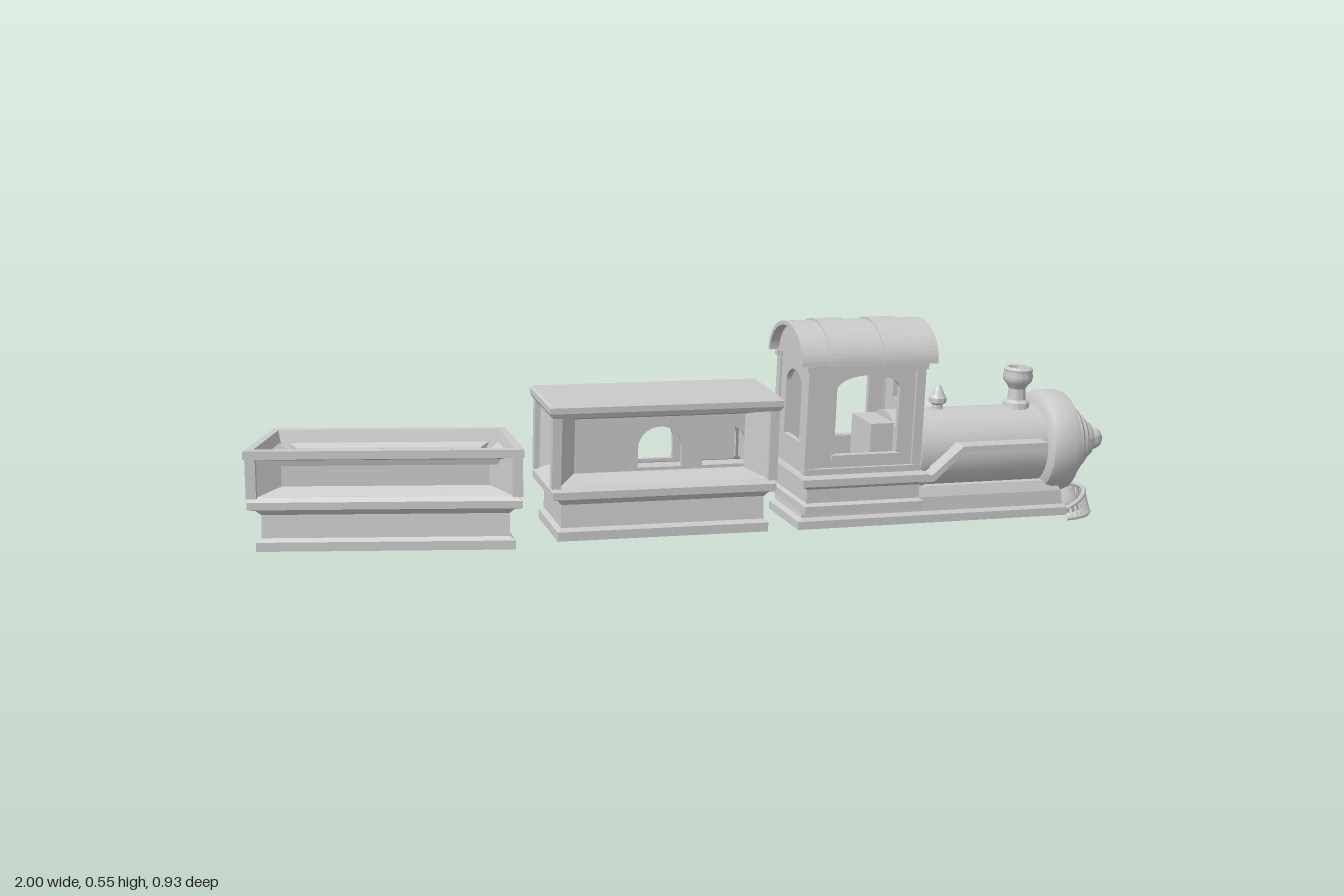
import * as THREE from 'three';
import { toCreasedNormals } from 'three/addons/utils/BufferGeometryUtils.js';

const solid = new THREE.MeshStandardMaterial({ color: 0xcccccc });
const thin = new THREE.MeshStandardMaterial({ color: 0xcccccc, side: THREE.DoubleSide });

function add(group, name, geo, mat = solid) {
  const mesh = new THREE.Mesh(geo, mat);
  mesh.name = name;
  group.add(mesh);
}

// Box given by its limits
function box(x0, x1, y0, y1, z0, z1) {
  return new THREE.BoxGeometry(x1 - x0, y1 - y0, z1 - z0)
    .translate((x0 + x1) / 2, (y0 + y1) / 2, (z0 + z1) / 2);
}

// Rectangular sections [half length, half width, y] joined upwards
function loft(sections) {
  const pos = [];
  const corners = ([a, b, y]) => [[a, y, b], [a, y, -b], [-a, y, -b], [-a, y, b]];
  for (let s = 0; s < sections.length - 1; s++) {
    const lo = corners(sections[s]), hi = corners(sections[s + 1]);
    for (let i = 0; i < 4; i++) {
      const j = (i + 1) % 4;
      for (const p of [lo[i], lo[j], hi[j], lo[i], hi[j], hi[i]]) pos.push(...p);
    }
  }
  const g = new THREE.BufferGeometry();
  g.setAttribute('position', new THREE.Float32BufferAttribute(pos, 3));
  g.computeVertexNormals();
  return g;
}

// Rectangular wall in the xy plane with arched openings [x, width, bottom, top, rise]
function wall(x0, x1, y0, y1, depth, openings = []) {
  const s = new THREE.Shape([[x0, y0], [x1, y0], [x1, y1], [x0, y1]].map(p => new THREE.Vector2(...p)));
  for (const [x, w, b, t, rise] of openings) {
    const h = new THREE.Path();
    h.moveTo(x - w / 2, b);
    h.lineTo(x - w / 2, t - rise);
    h.absellipse(x, t - rise, w / 2, rise, Math.PI, 0, true);
    h.lineTo(x + w / 2, b);
    h.closePath();
    s.holes.push(h);
  }
  return new THREE.ExtrudeGeometry(s, { depth, bevelEnabled: false, curveSegments: 16 });
}

// Lathe about the vertical, or laid along +x
function lathe(points, along = false, segments = 40) {
  const g = toCreasedNormals(new THREE.LatheGeometry(points.map(p => new THREE.Vector2(...p)), segments), 0.6);
  return along ? g.rotateZ(-Math.PI / 2) : g;
}

// Undercarriage, sill and recessed side and end panels shared by both cars
function carBody(hl, hw, top, depth, windows) {
  const g = new THREE.Group();
  add(g, 'undercarriage', loft([
    [0, 0, 0.07], [hl - 0.02, hw - 0.005, 0.07], [hl - 0.02, hw - 0.005, 0.092],
    [hl - 0.03, hw - 0.015, 0.1], [hl - 0.03, hw - 0.02, 0.155], [hl - 0.02, hw - 0.01, 0.168],
    [hl - 0.005, hw, 0.172], [hl - 0.005, hw, 0.19], [hl - 0.015, hw - 0.01, 0.2], [0, 0, 0.2]]));
  const y0 = 0.198, h = top - y0, mid = (top + y0) / 2, ih = h / 2 - 0.02;
  for (const s of [1, -1]) {
    for (const t of [1, -1]) {
      add(g, 'cornerPost', box(-0.011, 0.011, y0, top, -0.011, 0.011)
        .translate(s * (hl - 0.014), 0, t * (hw - 0.014)));
    }
    const turn = s > 0 ? 0 : Math.PI;
    add(g, 'sideFrame', loft([[hl - 0.02, h / 2, 0], [hl - 0.07, ih, -depth]])
      .rotateX(Math.PI / 2).translate(0, mid, hw - 0.01).rotateY(turn), thin);
    add(g, 'sideWall', wall(-hl + 0.07, hl - 0.07, mid - ih, mid + ih, 0.012, windows)
      .translate(0, 0, hw - 0.022 - depth).rotateY(turn));
    add(g, 'endFrame', loft([[hw - 0.02, h / 2, 0], [hw - 0.05, ih, -0.035]])
      .rotateX(Math.PI / 2).translate(0, mid, hl - 0.01).rotateY(Math.PI / 2 * s), thin);
    add(g, 'endWall', wall(-hw + 0.05, hw - 0.05, mid - ih, mid + ih, 0.006)
      .translate(0, 0, hl - 0.051).rotateY(Math.PI / 2 * s));
  }
  return g;
}

function makeCoach() {
  const g = carBody(0.28, 0.11, 0.37, 0.055,
    [-0.16, 0, 0.16].map(x => [x, 0.108, 0.226, 0.325, 0.05]));
  add(g, 'coachRoof', loft([[0, 0, 0.368], [0.277, 0.107, 0.368], [0.285, 0.112, 0.38],
    [0.285, 0.112, 0.394], [0.28, 0.107, 0.4], [0, 0, 0.4]]));
  return g;
}

function makeWagon() {
  const hl = 0.3, hw = 0.107;
  const g = carBody(hl, hw, 0.295, 0.03);
  add(g, 'wagonRim', loft([[hl - 0.022, hw - 0.022, 0.293], [hl, hw, 0.293], [hl, hw, 0.313],
    [hl - 0.018, hw - 0.018, 0.313]]), thin);
  add(g, 'wagonHold', loft([[hl - 0.018, hw - 0.018, 0.313], [hl - 0.03, hw - 0.03, 0.27], [0, 0, 0.265]]), thin);
  // Curve-side taper: one flank is longer than the other
  g.children.forEach(({ geometry }) => {
    const p = geometry.attributes.position;
    for (let i = 0; i < p.count; i++) p.setX(i, p.getX(i) * (1 + 0.76 * p.getZ(i)));
    geometry.computeVertexNormals();
  });
  return g;
}

// Half-elliptical roof shell running along +x, filled when thick is 0
function arch(x0, x1, rx, ry, thick) {
  const s = new THREE.Shape();
  s.absellipse(0, 0, rx, ry, 0, Math.PI, false);
  if (thick) {
    s.lineTo(-rx + thick, 0);
    s.absellipse(0, 0, rx - thick, ry - thick, Math.PI, 0, true);
  }
  s.closePath();
  const g = new THREE.ExtrudeGeometry(s, { depth: x1 - x0, bevelEnabled: false, curveSegments: 32 });
  return toCreasedNormals(g, 0.6).rotateY(Math.PI / 2).translate(x0, 0.459, 0);
}

// Flared slatted guard with an arched top edge, under the nose
function addGuard(g, cx) {
  const slats = 19, top = [], bottom = [];
  const at = (a, r, y) => new THREE.Vector3(cx + r * Math.cos(a), y, r * Math.sin(a));
  for (let i = 0; i < slats; i++) {
    const a = -Math.PI / 2 + Math.PI * i / (slats - 1);
    top.push(at(a, 0.088, 0.062 + 0.036 * Math.cos(a)));
    bottom.push(at(a, 0.104, 0.043));
    add(g, 'guardSlat', new THREE.TubeGeometry(new THREE.LineCurve3(bottom[i], top[i]), 1, 0.004, 6));
  }
  add(g, 'guardTopRing', new THREE.TubeGeometry(new THREE.CatmullRomCurve3(top), 40, 0.006, 8));
  add(g, 'guardBottomRing', new THREE.TubeGeometry(new THREE.CatmullRomCurve3(bottom), 40, 0.005, 8));
  add(g, 'guardDome', new THREE.SphereGeometry(0.086, 32, 12, 0, Math.PI * 2, 0, Math.PI / 2)
    .scale(1, 0.75, 1).translate(cx - 0.005, 0.052, 0), thin);
}

function makeLocomotive() {
  const g = new THREE.Group();
  add(g, 'chassis', loft([[0, 0, 0.052], [0.365, 0.1, 0.052], [0.365, 0.1, 0.072], [0.355, 0.092, 0.08],
    [0.35, 0.09, 0.115], [0.335, 0.08, 0.14], [0, 0, 0.14]]).translate(0.37, 0, 0));
  add(g, 'cabPlatform', loft([[0, 0, 0.1], [0.155, 0.138, 0.1], [0.155, 0.138, 0.12], [0.148, 0.127, 0.126],
    [0.148, 0.127, 0.16], [0.165, 0.143, 0.17], [0.165, 0.143, 0.188], [0, 0, 0.192]]).translate(0.16, 0, 0));

  // Boiler, smokebox and stepped nose
  add(g, 'boiler', lathe([[0, 0.26], [0.1, 0.26], [0.1, 0.7], [0, 0.7]], true).translate(0, 0.219, 0));
  add(g, 'boilerCollar', lathe([[0.1, 0.32], [0.106, 0.32], [0.106, 0.345], [0.1, 0.345]], true).translate(0, 0.219, 0));
  add(g, 'smokeboxNose', lathe([[0, 0.67], [0.112, 0.67], [0.125, 0.678], [0.13, 0.695], [0.13, 0.735],
    [0.125, 0.75], [0.11, 0.757], [0.1, 0.759], [0.098, 0.772], [0.09, 0.78], [0.076, 0.784], [0.074, 0.797],
    [0.066, 0.805], [0.052, 0.81], [0.05, 0.822], [0.042, 0.832], [0.028, 0.836], [0.028, 0.85],
    [0.022, 0.863], [0.012, 0.87], [0, 0.872]], true).translate(0, 0.223, 0));
  add(g, 'chimney', lathe([[0, 0], [0.034, 0], [0.032, 0.015], [0.023, 0.022], [0.021, 0.05], [0.027, 0.06],
    [0.036, 0.07], [0.038, 0.082], [0.035, 0.092], [0.037, 0.1], [0.03, 0.106], [0.024, 0.104], [0.02, 0.075],
    [0, 0.075]]).translate(0.622, 0.313, 0));
  add(g, 'bell', lathe([[0, 0], [0.014, 0], [0.013, 0.014], [0.022, 0.02], [0.022, 0.032], [0.015, 0.042],
    [0.008, 0.06], [0, 0.066]], false, 24).translate(0.403, 0.315, 0));

  // Cab walls, posts and trim
  for (const s of [1, -1]) {
    add(g, 'cabSide', wall(0.015, 0.31, 0.19, 0.462, 0.014, [[0.17, 0.165, 0.236, 0.432, 0.035]])
      .translate(0, 0, s > 0 ? 0.086 : -0.1));
    add(g, 'windowSill', box(0.08, 0.26, 0.225, 0.237, s * 0.1 - 0.008, s * 0.1 + 0.008));
    for (const x of [0.022, 0.305]) {
      add(g, 'cabPost', box(x - 0.012, x + 0.012, 0.19, 0.46, s * 0.095 - 0.012, s * 0.095 + 0.012));
    }
    add(g, 'cabBaseTrim', box(0.01, 0.315, 0.19, 0.205, s * 0.1 - 0.01, s * 0.1 + 0.01));
    add(g, 'eaveBeam', box(0.005, 0.322, 0.445, 0.46, s * 0.1 - 0.01, s * 0.1 + 0.01));

    // Running board that steps up beside the boiler
    const outline = [[0.3, 0.185], [0.335, 0.185], [0.415, 0.254], [0.645, 0.254],
      [0.645, 0.24], [0.42, 0.24], [0.34, 0.168], [0.3, 0.168]];
    const shape = new THREE.Shape(outline.map(p => new THREE.Vector2(...p)));
    add(g, 'runningBoard', new THREE.ExtrudeGeometry(shape, { depth: 0.045, bevelEnabled: false })
      .translate(0, 0, s > 0 ? 0.097 : -0.142));
  }
  add(g, 'sidePipe', lathe([[0, 0.46], [0.017, 0.46], [0.017, 0.61], [0, 0.61]], true, 20).translate(0, 0.205, -0.112));
  const front = [[0, 0.076, 0.343, 0.415, 0.008]], back = [[0, 0.1, 0.26, 0.43, 0.04]];
  add(g, 'cabFront', wall(-0.095, 0.095, 0.19, 0.462, 0.014, front).rotateY(Math.PI / 2).translate(0.297, 0, 0));
  add(g, 'cabBack', wall(-0.095, 0.095, 0.19, 0.462, 0.014, back).rotateY(Math.PI / 2).translate(0.015, 0, 0));
  add(g, 'firebox', box(0.2, 0.3, 0.19, 0.3, -0.06, 0.06));

  // Arched roof with wide raised bands
  add(g, 'cabRoof', arch(-0.012, 0.345, 0.113, 0.09, 0.01));
  add(g, 'roofFilling', arch(0.012, 0.315, 0.105, 0.082, 0));
  for (const x of [0.06, 0.2]) add(g, 'roofBand', arch(x, x + 0.075, 0.116, 0.094, 0.015));

  addGuard(g, 0.735);
  return g;
}

export function createModel() {
  const train = new THREE.Group();
  train.name = 'train';
  // Each vehicle turns and dips a little more along the curve
  const place = (name, v, x, z, yaw, pitch) => {
    v.name = name;
    v.position.set(x, 0, z);
    v.rotation.set(0, THREE.MathUtils.degToRad(yaw), THREE.MathUtils.degToRad(-pitch));
    train.add(v);
  };
  place('locomotive', makeLocomotive(), 0.208, -0.02, 25.7, 2.5);
  place('coach', makeCoach(), -0.094, 0.12, 22.7, 2);
  place('wagon', makeWagon(), -0.7, 0.302, 10, 0.5);
  return train;
}
